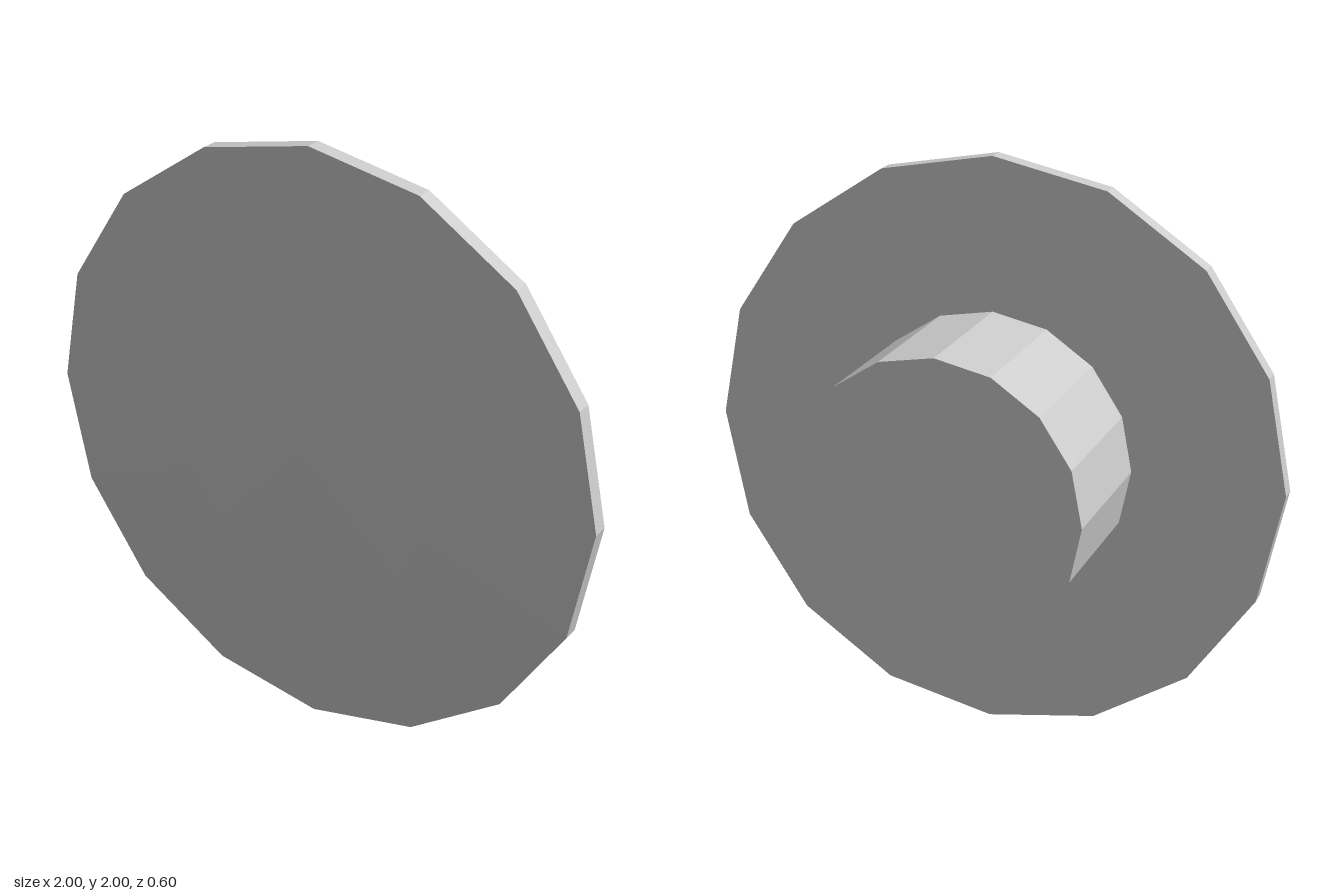
import * as THREE from 'three';

const SIDES = 16;

export function createModel() {
  const group = new THREE.Group();
  const material = new THREE.MeshStandardMaterial({ color: 0xcccccc, flatShading: true });

  // Turns a profile of [radius, z] pairs (back to front) around the z axis
  const turned = (name, profile, x, y) => {
    const points = profile.map(([r, z]) => new THREE.Vector2(r, z));
    const geometry = new THREE.LatheGeometry(points, SIDES).rotateX(Math.PI / 2);
    const mesh = new THREE.Mesh(geometry, material);
    mesh.name = name;
    mesh.position.set(x, y, 0);
    group.add(mesh);
  };

  // Wide disc: flat back, thin rim, shallow domed face
  turned('domedDisc', [[0, 0.185], [1, 0.185], [1, 0.24], [0.485, 0.283], [0, 0.3]], 0, 1);

  // Short stem behind the disc, closed at both ends
  turned('stem', [[0, -0.3], [0.485, -0.3], [0.485, 0.185], [0, 0.185]], -0.004, 1.004);

  return group;
}
